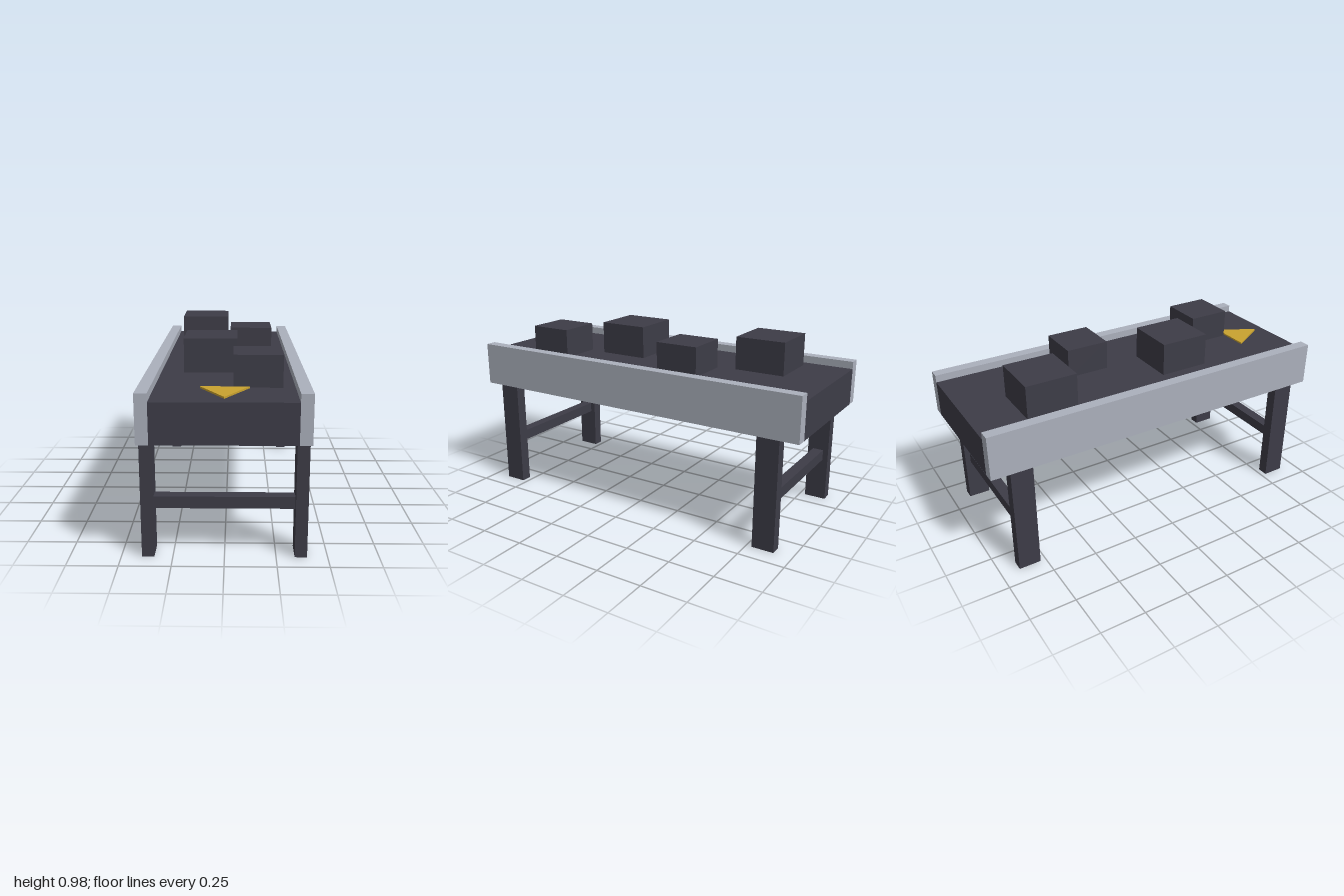
import * as THREE from 'three';

export function createModel() {
  const model = new THREE.Group();
  model.name = 'conveyorTable';

  const dark = new THREE.MeshStandardMaterial({ color: 0x3d3c47 });
  dark.name = 'charcoal';
  const metal = new THREE.MeshStandardMaterial({ color: 0xabb0bc });
  metal.name = 'light grey metal';
  const yellow = new THREE.MeshStandardMaterial({ color: 0xc9a22f });
  yellow.name = 'marker yellow';

  // Box given by its size, the centre of its base and its base height
  function addBox(name, material, [w, h, d], [x, y, z]) {
    const mesh = new THREE.Mesh(new THREE.BoxGeometry(w, h, d), material);
    mesh.position.set(x, y + h / 2, z);
    mesh.name = name;
    model.add(mesh);
  }

  // Belt bed between the side rails
  addBox('beltBed', dark, [0.68, 0.2, 2], [0, 0.6, 0]);

  // Side rails and legs, mirrored left and right
  for (const [side, s] of [['left', 1], ['right', -1]]) {
    addBox(side + 'Rail', metal, [0.06, 0.24, 2], [s * 0.37, 0.6, 0]);
    addBox(side + 'FrontLeg', dark, [0.06, 0.6, 0.12], [s * 0.37, 0, 0.84]);
    addBox(side + 'BackLeg', dark, [0.06, 0.6, 0.12], [s * 0.37, 0, -0.84]);
  }

  // Cross bars between the legs
  addBox('frontCrossBar', dark, [0.68, 0.06, 0.06], [0, 0.24, 0.84]);
  addBox('backCrossBar', dark, [0.68, 0.06, 0.06], [0, 0.24, -0.84]);

  // Crates riding on the belt: x, z, width, height
  const crates = [
    [-0.14, -0.6, 0.28, 0.18],
    [0.14, -0.24, 0.24, 0.16],
    [-0.08, 0.24, 0.28, 0.18],
    [0.16, 0.6, 0.24, 0.16],
  ];
  crates.forEach(([x, z, w, h], i) => addBox('crate' + (i + 1), dark, [w, h, w], [x, 0.8, z]));

  // Thin arrow plate pointing to the front end
  const triangle = new THREE.Shape([
    new THREE.Vector2(-0.12, -0.73),
    new THREE.Vector2(0, -0.935),
    new THREE.Vector2(0.12, -0.73),
  ]);
  const arrowGeometry = new THREE.ExtrudeGeometry(triangle, { depth: 0.009, bevelEnabled: false });
  arrowGeometry.rotateX(-Math.PI / 2);
  const arrow = new THREE.Mesh(arrowGeometry, yellow);
  arrow.position.y = 0.8;
  arrow.name = 'directionArrow';
  model.add(arrow);

  return model;
}
